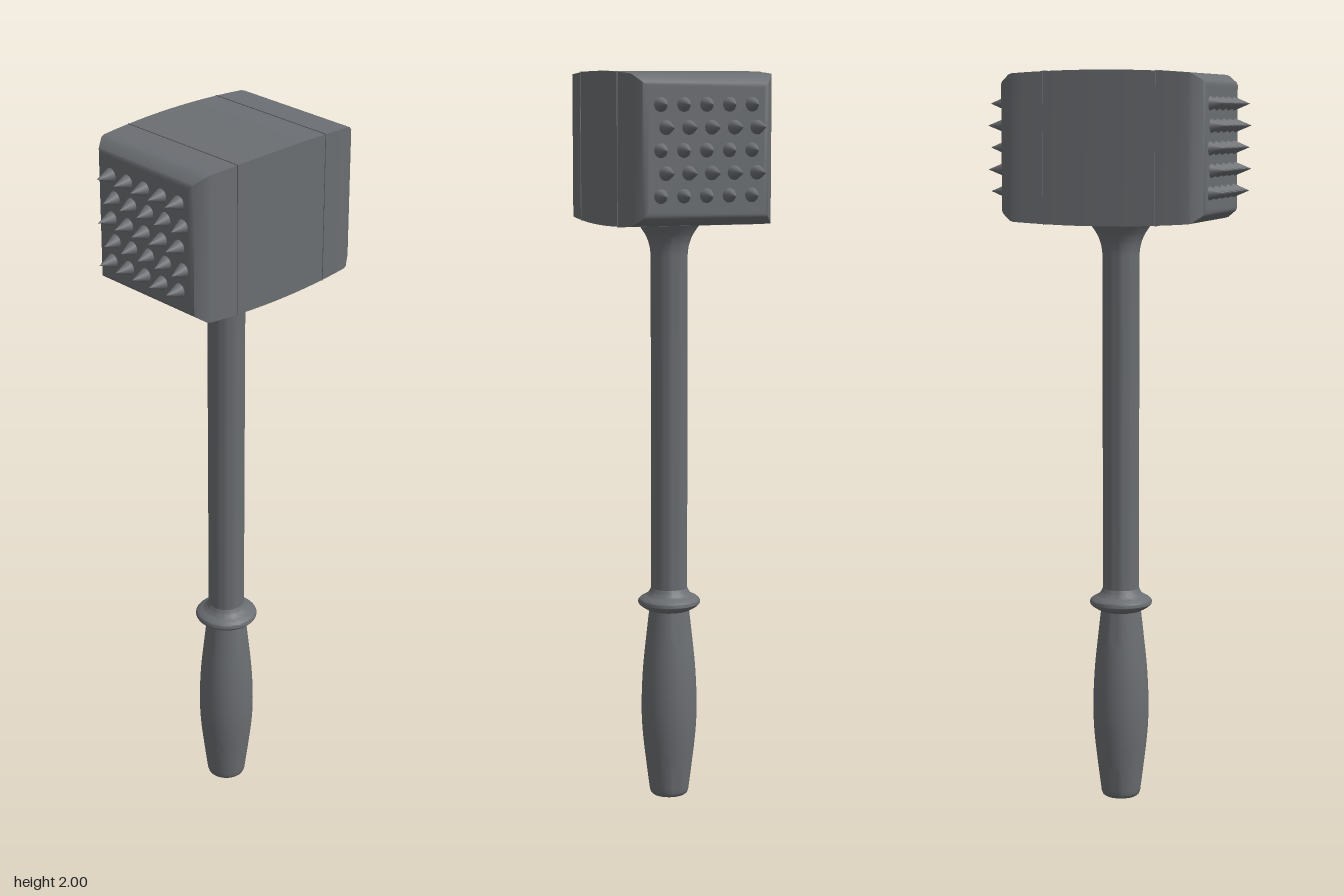
import * as THREE from 'three';
import { toCreasedNormals } from 'three/addons/utils/BufferGeometryUtils.js';

const material = new THREE.MeshStandardMaterial({ color: 0x6b6e72 });
const HEAD_Y = 1.8;

function add(parent, name, geometry) {
  const mesh = new THREE.Mesh(geometry, material);
  mesh.name = name;
  parent.add(mesh);
  return mesh;
}

const points = (list) => list.map(([r, y]) => new THREE.Vector2(r, y));

// Smooth profile through a few [radius, y] points
const smooth = (list, steps) =>
  new THREE.SplineCurve(points(list)).getPoints(steps).map((p) => [p.x, p.y]);

function turned(list) {
  return toCreasedNormals(new THREE.LatheGeometry(points(list), 40), 0.8);
}

// Square-section solid along x: list holds [half width, x]
function squareSection(list) {
  const corners = list.map(([h, x]) => [h * Math.SQRT2, x]);
  const geometry = new THREE.LatheGeometry(points(corners), 4, Math.PI / 4);
  geometry.rotateZ(-Math.PI / 2);
  return toCreasedNormals(geometry, 0.9);
}

// Spike pointing along +x, its tip leaning sideways by lean
function spikeGeometry(lean) {
  const spike = new THREE.ConeGeometry(0.021, 0.05, 16);
  spike.rotateZ(-Math.PI / 2);
  const position = spike.attributes.position;
  for (let i = 0; i < position.count; i++) {
    position.setZ(i, position.getZ(i) + lean * (position.getX(i) / 0.05 - 0.5));
  }
  return spike;
}

export function createModel() {
  const model = new THREE.Group();
  model.name = 'meatMallet';

  // Grip: swelling profile with a flat foot
  add(model, 'grip', turned([[0, 0], [0.046, 0], [0.051, 0.004], ...smooth([
    [0.054, 0.012], [0.064, 0.09], [0.074, 0.18], [0.077, 0.26],
    [0.073, 0.36], [0.063, 0.46], [0.054, 0.54],
  ], 28)]));

  // Collar: lens-shaped ring between grip and shaft
  add(model, 'collar', turned(smooth([
    [0.05, 0.527], [0.068, 0.535], [0.083, 0.546], [0.086, 0.555],
    [0.079, 0.564], [0.06, 0.575], [0.05, 0.592],
  ], 24)));

  // Shaft flaring out below the head
  add(model, 'shaft', turned([[0.05, 0.54], ...smooth([
    [0.05, 1.51], [0.053, 1.535], [0.061, 1.56], [0.074, 1.582], [0.089, 1.602],
  ], 14)]));

  // Head: bulging square block with softly chamfered ends
  const head = new THREE.Group();
  head.name = 'head';
  head.position.y = HEAD_Y;
  model.add(head);

  const half = [];
  for (let i = 0; i <= 8; i++) {
    const x = (i / 8) * 0.24;
    half.push([0.202 - 0.008 * (x / 0.24) ** 2, x]);
  }
  half.push([0.191, 0.25], [0.173, 0.275], [0.166, 0.28], [0.158, 0.28], [0, 0.28]);
  const mirrored = half.slice(1).reverse().map(([h, x]) => [h, -x]);
  add(head, 'headBlock', squareSection([...mirrored, ...half]));

  // Each end: a hairline seam and a staggered grid of spikes
  const straight = spikeGeometry(0);
  const leaning = spikeGeometry(-0.008);
  for (const side of [1, -1]) {
    const end = new THREE.Group();
    end.name = side > 0 ? 'leftEnd' : 'rightEnd';
    end.rotation.y = side > 0 ? 0 : Math.PI;
    head.add(end);

    add(end, 'seam', squareSection([[0.197, 0.1525], [0.2005, 0.1532], [0.197, 0.154]]));

    for (let row = 0; row < 5; row++) {
      const odd = row % 2 === 1;
      for (let col = 0; col < 5; col++) {
        add(end, 'spike', odd ? leaning : straight)
          .position.set(0.3, (2 - row) * 0.058, (col - 2) * 0.0625 - (odd ? 0.021 : 0));
      }
    }
  }

  return model;
}
